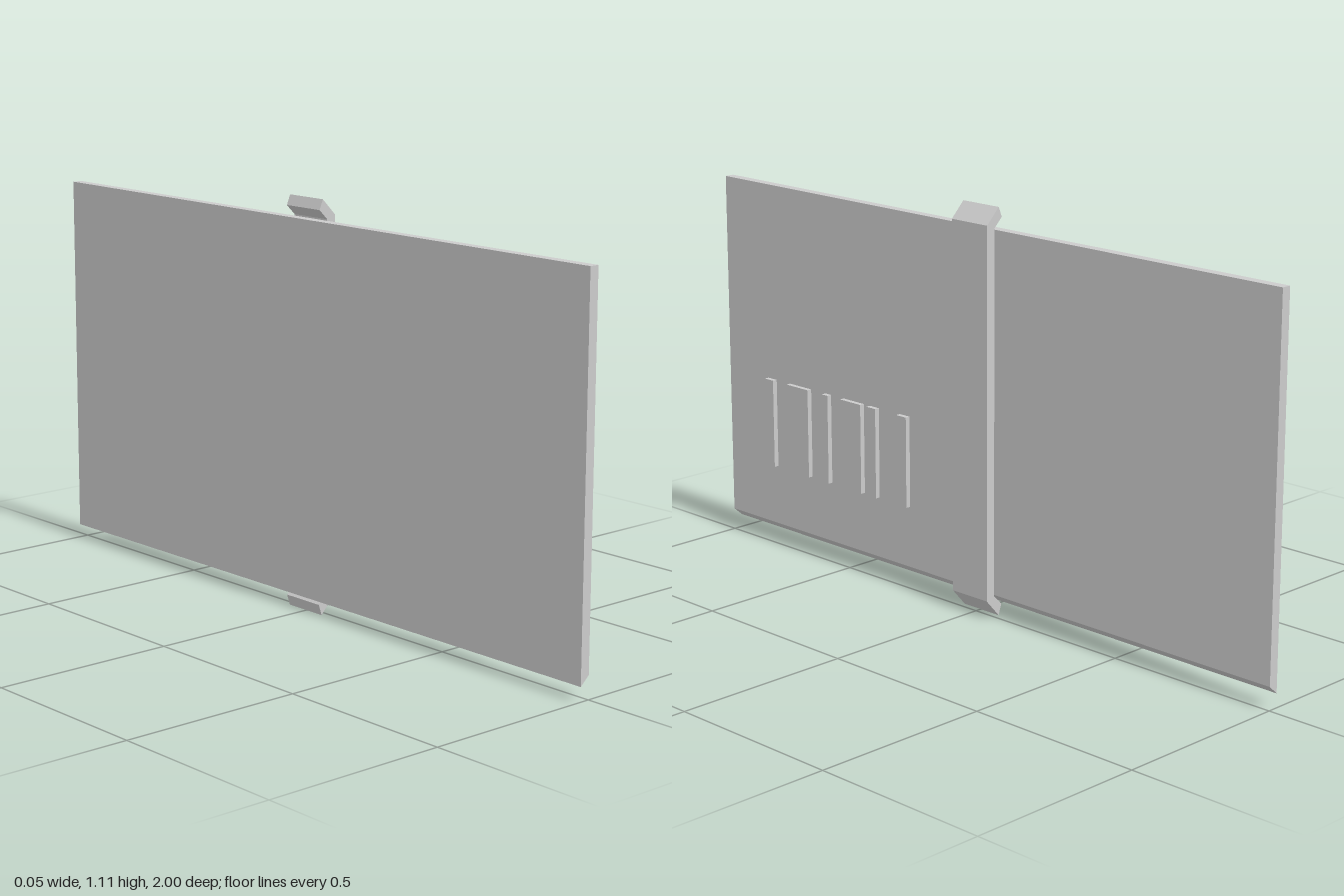
import * as THREE from 'three';

const material = new THREE.MeshStandardMaterial({ color: 0xcccccc, flatShading: true });

// Extrudes an x/y profile from z0 to z1
function extrude(name, points, z0, z1) {
  const shape = new THREE.Shape(points.map(([x, y]) => new THREE.Vector2(x, y)));
  const geometry = new THREE.ExtrudeGeometry(shape, { depth: z1 - z0, bevelEnabled: false });
  geometry.translate(0, 0, z0);
  const mesh = new THREE.Mesh(geometry, material);
  mesh.name = name;
  return mesh;
}

export function createModel() {
  const group = new THREE.Group();
  group.name = 'panelWithStrap';

  // Thin panel with a slanted lower edge
  group.add(extrude('panel', [[-0.027, 0.038], [0, 0.062], [0, 1.05], [-0.027, 1.05]], -1, 1));

  // Upright strap with lips hooked over the top and bottom edges
  group.add(extrude('strap', [
    [0.027, 0.05], [0.027, 1.064], [-0.015, 1.107], [-0.026, 1.08],
    [0, 1.054], [0, 0.059], [-0.028, 0.03], [-0.018, 0],
  ], -0.067, 0.061));

  // Row of raised bars: [near z, far z]
  const bars = [[0.253, 0.291], [0.374, 0.409], [0.434, 0.516], [0.568, 0.591], [0.651, 0.74], [0.798, 0.833]];
  const x0 = -0.003, x1 = 0.014, y0 = 0.235, y1 = 0.49;
  bars.forEach(([z0, z1], i) => {
    const bar = new THREE.Mesh(new THREE.BoxGeometry(x1 - x0, y1 - y0, z1 - z0), material);
    bar.position.set((x0 + x1) / 2, (y0 + y1) / 2, (z0 + z1) / 2);
    bar.name = `raisedBar${i + 1}`;
    group.add(bar);
  });

  return group;
}
